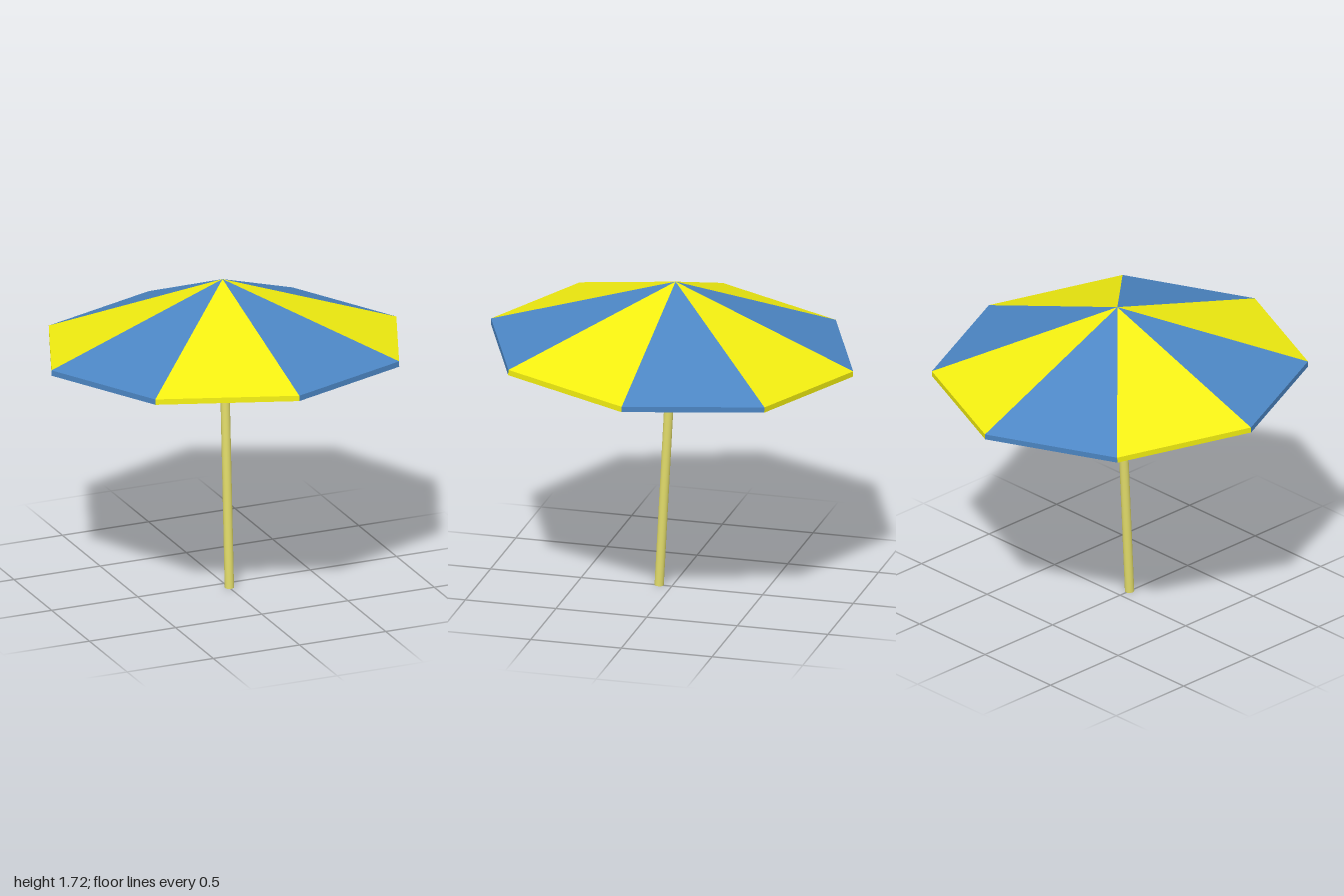
import * as THREE from 'three';
import { mergeGeometries } from 'three/addons/utils/BufferGeometryUtils.js';

const SIDES = 8;
const RISE = 0.36;       // height of the canopy cone
const BAND = 0.03;       // height of the rim band
const RIM_Y = 1.335;     // height of the rim's lower edge
const POLE_R = 0.025;

const blue = new THREE.MeshStandardMaterial({ color: 0x4c86c4, flatShading: true });
const yellow = new THREE.MeshStandardMaterial({ color: 0xf2ee10, flatShading: true });
const lining = new THREE.MeshStandardMaterial({ color: 0x4c86c4, flatShading: true, side: THREE.BackSide });
const wood = new THREE.MeshStandardMaterial({ color: 0xe2dc6a });

function addMesh(parent, name, geometry, material) {
  const mesh = new THREE.Mesh(geometry, material);
  mesh.name = name;
  parent.add(mesh);
  return mesh;
}

// One wedge of the cone with its strip of rim band
function panelGeometry(start, angle) {
  const slope = new THREE.ConeGeometry(1, RISE, 1, 1, true, start, angle);
  slope.translate(0, BAND + RISE / 2, 0);
  const band = new THREE.CylinderGeometry(1, 1, BAND, 1, 1, true, start, angle);
  band.translate(0, BAND / 2, 0);
  return mergeGeometries([slope, band]);
}

export function createModel() {
  const model = new THREE.Group();
  model.name = 'parasol';

  // Everything leans back slightly, pivoting at the rim's centre
  const leaning = new THREE.Group();
  leaning.name = 'leaningParasol';
  leaning.position.y = RIM_Y;
  leaning.rotation.x = -0.0525;
  model.add(leaning);

  // Canopy: alternating coloured panels
  const canopy = new THREE.Group();
  canopy.name = 'canopy';
  leaning.add(canopy);
  const step = (Math.PI * 2) / SIDES;
  for (let i = 0; i < SIDES; i++) {
    addMesh(canopy, `panel${i + 1}`, panelGeometry(i * step, step), i % 2 ? yellow : blue);
  }

  // Hollow underside, seen only from inside the cone
  const under = new THREE.ConeGeometry(1, RISE, SIDES, 1, true);
  under.translate(0, RISE / 2, 0);
  addMesh(canopy, 'underside', under, lining);

  // Pole from the ground to just under the peak
  const top = RISE - 0.005;
  const length = RIM_Y + top;
  const pole = new THREE.CylinderGeometry(POLE_R, POLE_R, length, 16);
  pole.translate(0, top - length / 2, 0);
  addMesh(leaning, 'pole', pole, wood);

  return model;
}
